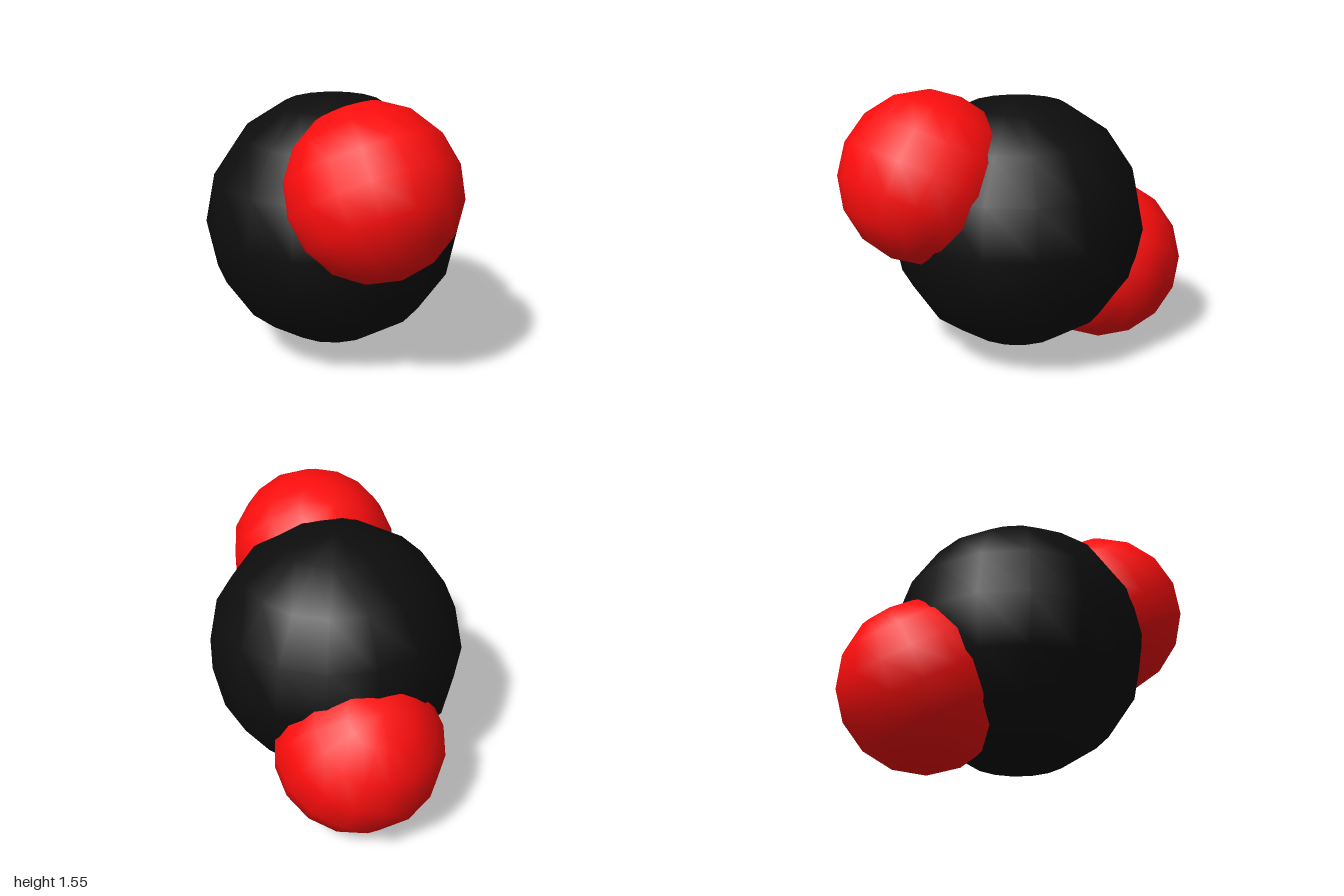
import * as THREE from 'three';

export function createModel() {
  const model = new THREE.Group();
  model.name = 'threeAtomMolecule';

  const black = new THREE.MeshStandardMaterial({ color: 0x0d0d0d });
  const red = new THREE.MeshStandardMaterial({ color: 0xff0d0d });

  // Large central ball
  const center = new THREE.Vector3(0, 0.778, 0);
  const core = new THREE.Mesh(new THREE.SphereGeometry(0.71, 16, 8), black);
  core.name = 'centerBall';
  core.position.copy(center);
  model.add(core);

  // Smaller balls on opposite ends of a tilted axis, turned to face along it
  const offset = new THREE.Vector3(-0.052, 0.312, 0.535);
  const forward = offset.clone().normalize();
  const up = forward.clone().cross(new THREE.Vector3(0.993, 0.118, 0.04)).normalize();
  const side = up.clone().cross(forward);
  const turn = new THREE.Matrix4().makeBasis(side, up, forward);
  const endGeometry = new THREE.SphereGeometry(0.47, 16, 8);

  for (const [name, sign] of [['frontBall', 1], ['backBall', -1]]) {
    const ball = new THREE.Mesh(endGeometry, red);
    ball.name = name;
    ball.position.copy(center).addScaledVector(offset, sign);
    ball.quaternion.setFromRotationMatrix(turn);
    model.add(ball);
  }

  return model;
}
